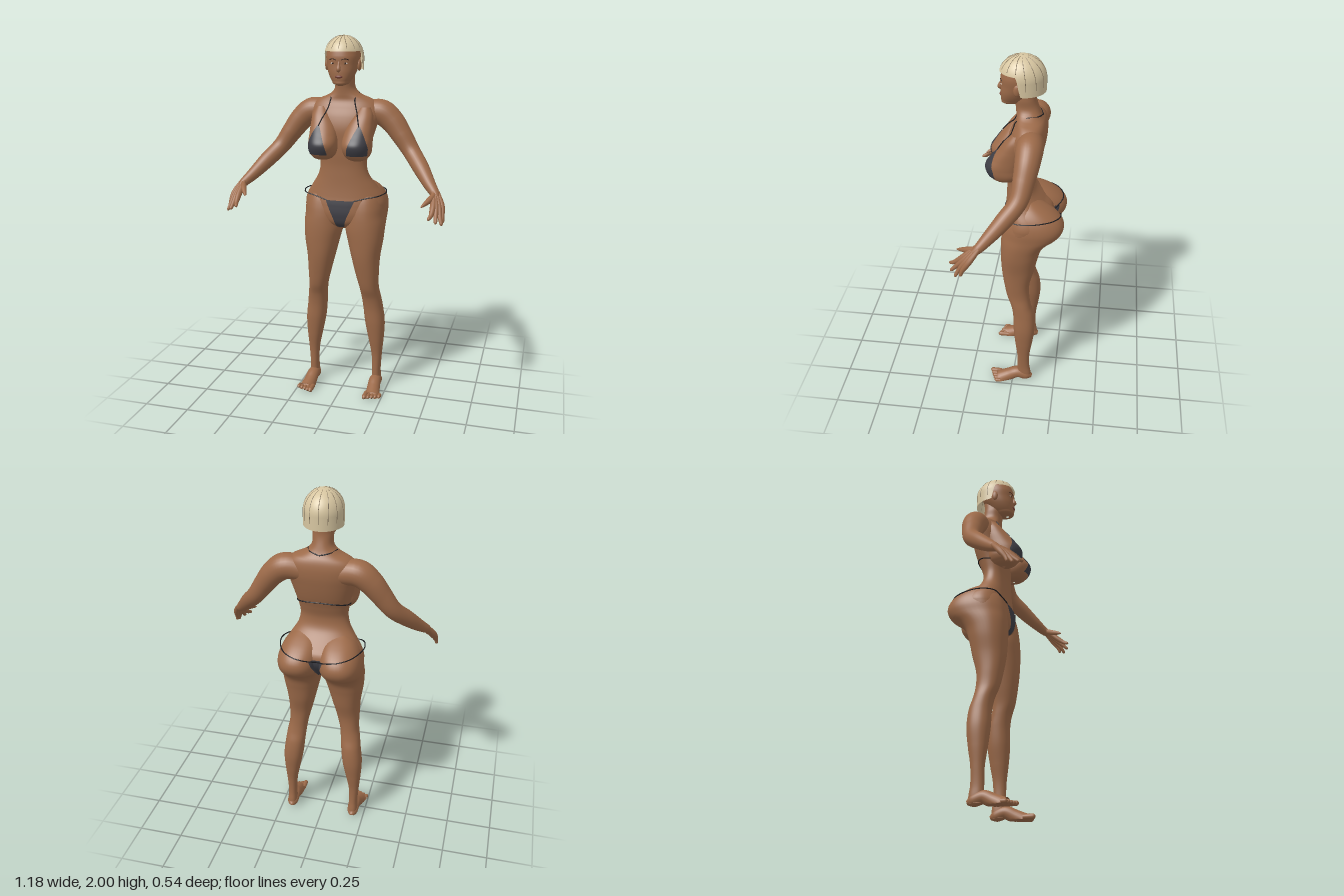
import * as THREE from 'three';
import { ParametricGeometry } from 'three/addons/geometries/ParametricGeometry.js';

const material = (name, color, side = THREE.FrontSide) => {
  const m = new THREE.MeshStandardMaterial({ color, side });
  m.name = name;
  return m;
};
const skin = material('skin', 0x9c6a49);
const hairMat = material('blonde hair', 0xd6c5a0, THREE.DoubleSide);
const partingMat = material('hair partings', 0x85755e);
const cloth = material('charcoal cloth', 0x3e3e45, THREE.DoubleSide);
const cord = material('black cord', 0x1c1c20);
const lipMat = material('lips', 0x7c4438);
const eyeMat = material('eye white', 0xd8d0c6);
const dark = material('iris and brow', 0x2e1e17);

const spline = (xs, rows) => new THREE.CubicInterpolant(xs, rows.flat(), rows[0].length);
const bend = (v) => Math.sign(v) * Math.abs(v) ** 0.88;

// Horizontal cross-sections: [y, centre x, half width, front z, back z]
function profile(rows) {
  const s = spline(rows.map((r) => r[0]), rows.map((r) => r.slice(1)));
  const y0 = rows[0][0], y1 = rows.at(-1)[0];
  const at = (a, y, off = 0) => {
    const [cx, rx, f, b] = s.evaluate(y);
    return new THREE.Vector3(cx + (rx + off) * bend(Math.sin(a)), y,
      (f + b) / 2 + ((f - b) / 2 + off) * bend(Math.cos(a)));
  };
  // Depth of the surface at x, y on the front (+1) or back (-1)
  const depth = (x, y, dir) => {
    const [cx, rx, f, b] = s.evaluate(y);
    const k = Math.min(1, Math.abs((x - cx) / rx)) ** (1 / 0.88);
    return (f + b) / 2 + dir * (f - b) / 2 * Math.sqrt(1 - k * k) ** 0.88;
  };
  const geometry = (nu = 48, nv = 60) => new ParametricGeometry((u, v, t) =>
    t.copy(at((u - 0.5) * 2 * Math.PI, y0 + v * (y1 - y0))), nu, nv);
  return { at, depth, geometry };
}

// Round limb through points [x, y, z, radius]
function limb(pts, nu = 16, nv = 16) {
  const curve = new THREE.CatmullRomCurve3(pts.map((p) => new THREE.Vector3(...p.slice(0, 3))));
  const radius = spline(pts.map((_, i) => i), pts.map((p) => [p[3]]));
  const ref = new THREE.Vector3(1, 0.7, 0);
  return new ParametricGeometry((u, v, t) => {
    const dir = curve.getTangent(v), c = curve.getPoint(v);
    const b1 = ref.clone().cross(dir).normalize(), b2 = dir.clone().cross(b1);
    const r = radius.evaluate(v * (pts.length - 1))[0], a = u * 2 * Math.PI;
    t.copy(c).addScaledVector(b1, r * Math.cos(a)).addScaledVector(b2, r * Math.sin(a));
  }, nu, nv);
}

const ellipsoid = (centre, radii) =>
  new THREE.SphereGeometry(1, 18, 12).scale(...radii).translate(...centre);

// Thin cloth patch: rows [y, left x, right x], laid on a depth function
function patch(rows, z) {
  const s = spline(rows.map((r) => r[0]), rows.map((r) => r.slice(1)));
  return new ParametricGeometry((u, v, t) => {
    const y = rows[0][0] + v * (rows.at(-1)[0] - rows[0][0]);
    const [a, b] = s.evaluate(y), x = a + u * (b - a);
    t.set(x, y, z(x, y));
  }, 16, 20);
}

const tube = (pts, r = 0.0032, n = 48) => new THREE.TubeGeometry(
  new THREE.CatmullRomCurve3(pts.map((p) => (p.isVector3 ? p : new THREE.Vector3(...p)))), n, r, 6);

function mirrored(geo) {
  const g = geo.clone().scale(-1, 1, 1), ix = g.index.array;
  for (let i = 0; i < ix.length; i += 3) [ix[i], ix[i + 1]] = [ix[i + 1], ix[i]];
  return g;
}

export function createModel() {
  const model = new THREE.Group();
  model.name = 'figure';
  const add = (name, geo, mat) => {
    const m = new THREE.Mesh(geo, mat);
    m.name = name;
    model.add(m);
  };
  const pair = (name, geo, mat) => {
    add(name + 'Left', geo, mat);
    add(name + 'Right', mirrored(geo), mat);
  };

  // Torso and neck
  const torso = profile([
    [0.965, 0, 0.02, 0.02, -0.07], [0.995, 0, 0.12, 0.052, -0.12], [1.04, 0, 0.205, 0.064, -0.165],
    [1.1, 0, 0.226, 0.062, -0.2], [1.15, 0, 0.213, 0.055, -0.195], [1.2, 0, 0.18, 0.05, -0.15],
    [1.26, 0, 0.142, 0.047, -0.103], [1.32, 0, 0.128, 0.046, -0.09], [1.38, 0, 0.135, 0.05, -0.105],
    [1.45, 0, 0.152, 0.052, -0.13], [1.52, 0, 0.172, 0.05, -0.148], [1.58, 0, 0.19, 0.035, -0.158],
    [1.63, 0, 0.185, 0.014, -0.157], [1.665, 0, 0.15, 0, -0.147], [1.69, 0, 0.09, 0, -0.13],
    [1.72, 0, 0.058, 0.002, -0.117], [1.78, 0, 0.053, 0.01, -0.1], [1.84, 0, 0.05, 0.01, -0.1]]);
  add('torso', torso.geometry(64, 90), skin);
  const breast = profile([[1.35, 0.095, 0.006, 0.055, 0.03], [1.356, 0.095, 0.035, 0.085, 0],
    [1.37, 0.094, 0.057, 0.112, -0.02], [1.395, 0.093, 0.073, 0.133, -0.04],
    [1.44, 0.092, 0.079, 0.145, -0.05], [1.49, 0.095, 0.076, 0.115, -0.06],
    [1.54, 0.103, 0.067, 0.078, -0.06], [1.59, 0.115, 0.05, 0.042, -0.06],
    [1.63, 0.12, 0.03, 0.008, -0.06]]);
  pair('breast', breast.geometry(40, 50), skin);

  // Legs running up into the hips, feet and toes
  const leg = profile([
    [0.015, 0.187, 0.026, -0.032, -0.108], [0.05, 0.187, 0.026, -0.03, -0.108],
    [0.1, 0.187, 0.024, -0.03, -0.1], [0.2, 0.188, 0.029, -0.028, -0.1],
    [0.3, 0.183, 0.043, -0.015, -0.115], [0.4, 0.175, 0.055, -0.005, -0.126],
    [0.5, 0.164, 0.055, -0.001, -0.118], [0.56, 0.157, 0.054, 0.01, -0.1],
    [0.62, 0.148, 0.053, 0.033, -0.09], [0.7, 0.138, 0.063, 0.05, -0.09],
    [0.8, 0.128, 0.078, 0.065, -0.115], [0.9, 0.123, 0.098, 0.07, -0.137],
    [0.96, 0.118, 0.108, 0.07, -0.158], [1.0, 0.116, 0.112, 0.068, -0.192],
    [1.04, 0.114, 0.114, 0.064, -0.244], [1.09, 0.113, 0.115, 0.055, -0.267],
    [1.14, 0.109, 0.107, 0.04, -0.25], [1.18, 0.103, 0.092, 0.02, -0.206],
    [1.21, 0.098, 0.07, -0.01, -0.155], [1.235, 0.095, 0.035, -0.05, -0.1]]);
  pair('leg', leg.geometry(44, 90), skin);
  const foot = limb([[0.187, 0.022, -0.114, 0.012], [0.187, 0.03, -0.085, 0.03],
    [0.187, 0.045, -0.03, 0.034], [0.19, 0.022, 0.02, 0.037], [0.194, 0.004, 0.055, 0.041],
    [0.198, -0.01, 0.085, 0.045], [0.198, 0, 0.108, 0.015]], 24, 36);
  const fp = foot.attributes.position;
  for (let i = 0; i < fp.count; i++) fp.setY(i, Math.max(0.002, fp.getY(i)));
  foot.computeVertexNormals();
  pair('foot', foot, skin);
  for (let i = 0; i < 5; i++) {
    const x = 0.16 + 0.0195 * i, tip = 0.137 - 0.008 * i, r = i ? 0.0105 : 0.013;
    pair('toe', limb([[x, r, 0.07, r], [x, r, tip - 0.01, r], [x, r, tip, 0.002]], 10, 10), skin);
  }

  // Arms and hands
  pair('arm', limb([[0.09, 1.59, -0.085, 0.062], [0.19, 1.597, -0.088, 0.069],
    [0.25, 1.555, -0.084, 0.064], [0.305, 1.485, -0.073, 0.056], [0.365, 1.4, -0.053, 0.047],
    [0.43, 1.325, 0.012, 0.043], [0.487, 1.257, 0.08, 0.033], [0.525, 1.216, 0.125, 0.024],
    [0.535, 1.2, 0.145, 0.018]], 28, 50), skin);
  [[0.58, 1.087, 0.208], [0.577, 1.08, 0.234], [0.551, 1.092, 0.258], [0.517, 1.11, 0.268]]
    .forEach(([x, y, z], i) => {
      const k = i - 1.5;
      pair('finger', limb([[0.527 - 0.006 * k, 1.225, 0.125 + 0.005 * k, 0.012],
        [0.547 - 0.013 * k, 1.165, 0.18 + 0.011 * k, 0.016],
        [x * 0.5 + 0.276 - 0.007 * k, y * 0.5 + 0.572, z * 0.5 + 0.101 + 0.006 * k, 0.011],
        [x, y + 0.006, z - 0.004, 0.008], [x, y, z, 0.002]], 12, 20), skin);
    });
  pair('thumb', limb([[0.527, 1.22, 0.13, 0.014], [0.507, 1.196, 0.175, 0.016],
    [0.485, 1.178, 0.215, 0.01], [0.472, 1.168, 0.238, 0.003]], 12, 16), skin);

  // Head and face
  const head = profile([[1.742, 0, 0.006, 0.05, 0.03], [1.75, 0, 0.032, 0.07, -0.005],
    [1.77, 0, 0.05, 0.076, -0.035], [1.81, 0, 0.072, 0.079, -0.07], [1.85, 0, 0.083, 0.077, -0.1],
    [1.9, 0, 0.088, 0.076, -0.115], [1.95, 0, 0.073, 0.055, -0.11], [1.985, 0, 0.035, 0.01, -0.07]]);
  add('head', head.geometry(), skin);
  pair('ear', ellipsoid([0.087, 1.848, -0.012], [0.011, 0.03, 0.018]), skin);
  add('nose', limb([[0, 1.876, 0.069, 0.006], [0, 1.85, 0.077, 0.008],
    [0, 1.828, 0.082, 0.012], [0, 1.816, 0.076, 0.004]]), skin);
  add('lips', ellipsoid([0, 1.792, 0.073], [0.021, 0.009, 0.011]), lipMat);
  pair('eye', ellipsoid([0.033, 1.86, 0.066], [0.013, 0.005, 0.008]), eyeMat);
  pair('iris', ellipsoid([0.033, 1.86, 0.071], [0.005, 0.005, 0.004]), dark);
  pair('brow', tube([0.014, 0.034, 0.052].map((x, i) => {
    const y = 1.877 + (i === 1 ? 0.006 : 0);
    return [x, y, head.depth(x, y, 1)];
  }), 0.0022, 10), dark);

  // Bobbed hair with a short fringe, a centre parting and swept partings
  const hairAt = (a, v) => {
    const edge = 1.92 - 0.1 * THREE.MathUtils.smoothstep(Math.abs(a), 1.35, 1.6);
    const y = edge + (2 - edge) * Math.sin(v * Math.PI / 2);
    const r = y > 1.89 ? Math.sqrt(Math.max(0.0004, 1 - ((y - 1.89) / 0.11) ** 2)) : 1;
    return new THREE.Vector3(0.103 * r * Math.sin(a), y, -0.03 + 0.118 * r * Math.cos(a));
  };
  add('hair', new ParametricGeometry((u, v, t) =>
    t.copy(hairAt((u - 0.5) * 2 * Math.PI, v)), 80, 36), hairMat);
  const steps = [0.12, 0.3, 0.5, 0.7, 0.9];
  for (const a of [0, Math.PI]) add('centreParting', tube(steps.map((v) => hairAt(a, v)), 0.0016, 20), partingMat);
  for (let i = 0; i < 6; i++) {
    pair('sweptParting', tube(steps.map((v) =>
      hairAt(0.45 + i * 0.45 - 0.25 * v * v, v * 0.95)), 0.0016, 20), partingMat);
  }

  // Bikini cups and briefs
  pair('cup', patch([[1.388, 0.052, 0.158], [1.43, 0.06, 0.163], [1.49, 0.083, 0.143],
    [1.54, 0.106, 0.116]], (x, y) => breast.depth(x, y, 1) + 0.004), cloth);
  const front = (x, y) => Math.max(torso.depth(x, y, 1), leg.depth(Math.abs(x), y, 1)) + 0.005;
  const chest = (x, y) => Math.max(torso.depth(x, y, 1), breast.depth(x, y, 1)) + 0.003;
  const back = (x, y) => Math.min(torso.depth(x, y, -1), leg.depth(Math.abs(x), y, -1)) - 0.004;
  add('briefsFront', patch([[0.978, -0.02, 0.02], [1.03, -0.036, 0.036], [1.08, -0.058, 0.058],
    [1.13, -0.08, 0.08]], front), cloth);
  add('briefsBack', patch([[0.98, -0.014, 0.014], [1.06, -0.016, 0.016], [1.13, -0.036, 0.036]],
    back), cloth);

  // Cords: hip, neck and chest
  pair('hipCord', tube([[0.075, 1.13, front(0.075, 1.13)], [0.14, 1.146, front(0.14, 1.146) + 0.003],
    [0.2, 1.157, 0.02], [0.226, 1.162, -0.04], [0.222, 1.163, -0.11],
    ...[[0.18, 1.16], [0.13, 1.154], [0.08, 1.145], [0.03, 1.128], [0, 1.122]]
      .map(([x, y]) => [x, y, back(x, y)])]), cord);
  pair('neckCord', tube([...[[0.11, 1.535], [0.098, 1.57], [0.082, 1.61], [0.072, 1.64], [0.066, 1.67]]
    .map(([x, y]) => [x, y, chest(x, y)]), [0.074, 1.699, -0.06], [0.05, 1.698, -0.113],
  [0, 1.69, -0.135]]), cord);
  pair('chestCord', tube([[0.156, 1.388, 0.058], ...[1.5, 1.8, 2.1, 2.4, 2.7, Math.PI]
    .map((a, i) => torso.at(a, 1.395 + 0.006 * i, 0.003))]), cord);

  return model;
}
